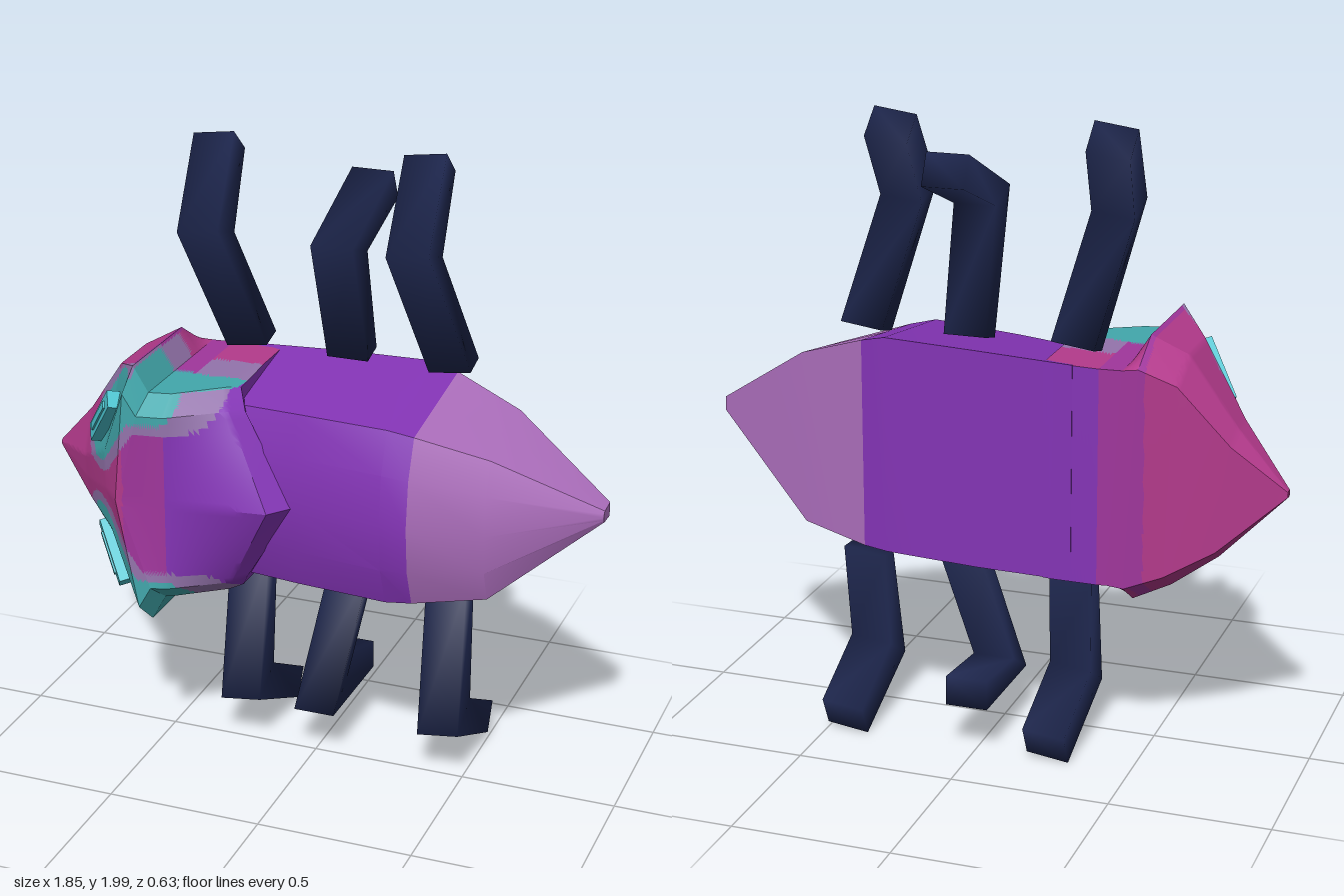
import * as THREE from 'three';
import { toCreasedNormals } from 'three/addons/utils/BufferGeometryUtils.js';

const colours = {
  magenta: 0xb43a8c, plum: 0xa0369c, purple: 0x8434b6, mauve: 0xac6ebc,
  teal: 0x42a8ac, lavender: 0x9474ac, cyan: 0x4cc4d0, navy: 0x1f2850,
};
const mats = Object.entries(colours).map(([name, color]) => {
  const m = new THREE.MeshStandardMaterial({ color });
  m.name = name;
  return m;
});
const [MAGENTA, PLUM, PURPLE, MAUVE, TEAL, LAVENDER, CYAN, NAVY] = mats.keys();

// Ring in the y-z plane; the half profile [t, z] is mirrored about mid height.
// x is the station at the sides, xm at the middle of the back; skew leans it.
function ring(x, xm, lo, hi, half, skew = 0) {
  const c = (lo + hi) / 2, h = (hi - lo) / 2;
  const at = (s, [t, z]) => new THREE.Vector3(
    x - skew * s * t + (xm - x) * (z > 0 ? 1 - t : 0), c + s * t * h, z);
  return [...half.map(p => at(-1, p)), ...half.slice(0, -1).reverse().map(p => at(1, p))];
}

// Closed loft between rings; every face takes its material from paint(centre)
function loft(name, rings, paint, n = 1, crease = 0.45) {
  const buckets = mats.map(() => []);
  const centre = new THREE.Vector3();
  const tri = (a, b, c) => {
    centre.copy(a).add(b).add(c).divideScalar(3);
    buckets[paint(centre)].push(...a, ...b, ...c);
  };
  const m = rings[0].length;
  for (let i = 0; i + 1 < rings.length; i++) for (let j = 0; j < m; j++) {
    const k = (j + 1) % m;
    const p = (u, v) => rings[i][j].clone().lerp(rings[i + 1][j], u / n)
      .lerp(rings[i][k].clone().lerp(rings[i + 1][k], u / n), v / n);
    for (let u = 0; u < n; u++) for (let v = 0; v < n; v++) {
      const a = p(u, v), b = p(u, v + 1), c = p(u + 1, v), d = p(u + 1, v + 1);
      tri(a, c, b);
      tri(b, c, d);
    }
  }
  const first = rings[0], last = rings[rings.length - 1];
  for (let j = 1; j + 1 < m; j++) {
    tri(first[0], first[j], first[j + 1]);
    tri(last[0], last[j + 1], last[j]);
  }
  let geo = new THREE.BufferGeometry();
  geo.setAttribute('position', new THREE.Float32BufferAttribute(buckets.flat(), 3));
  geo = toCreasedNormals(geo, crease);
  let start = 0;
  buckets.forEach((b, i) => {
    if (b.length) geo.addGroup(start, b.length / 3, i);
    start += b.length / 3;
  });
  const mesh = new THREE.Mesh(geo, mats);
  mesh.name = name;
  return mesh;
}

// Profiles: face for the sloping head, bevelled for collar and shield,
// tapered for the abdomen
const face = (zb, zf, k = 1) =>
  [[0.82, zb], [1, zb + 0.12 * k], [1, zf - 0.14 * k], [0.35, zf], [0, zf]];
const bevelled = (zb, zf, back = 0.82) =>
  [[back, zb], [1, zb + 0.12], [1, zf - 0.07], [0.84, zf], [0, zf]];
const tapered = (zb, zf, zm) =>
  [[1, zb], [0.91, (zb + zf) / 2], [0.82, zf], [0.45, zf + 0.75 * (zm - zf)], [0, zm]];

// Distance in the x-y plane from (x, y) to a segment
function distance(x, y, ax, ay, bx, by) {
  const dx = bx - ax, dy = by - ay;
  const t = THREE.MathUtils.clamp(((x - ax) * dx + (y - ay) * dy) / (dx * dx + dy * dy), 0, 1);
  return Math.hypot(x - ax - t * dx, y - ay - t * dy);
}

// Teal eye patches with a lavender rim, running from the head over the collar
function headPaint(p) {
  const upper = p.y > 0.935;
  const x = upper ? p.x : p.x - 0.02, y = upper ? p.y : 1.87 - p.y;
  if (y > 1.28 && x > -0.495) {
    return p.z > 0.05 ? TEAL : p.z > -0.09 ? LAVENDER : MAGENTA;
  }
  const onFace = x > -0.5 || p.z > -0.25 + 1.1 * (p.x + 0.93);
  const onHead = distance(x, y, -0.66, 1.08, -0.53, 1.26);
  if (onFace && p.z > 0.04) {
    if (Math.min(onHead, distance(x, y, -0.53, 1.26, -0.42, 1.26)) < 0.068) return TEAL;
    if (Math.min(onHead, distance(x, y, -0.53, 1.26, -0.33, 1.27)) < 0.1) return LAVENDER;
  }
  return p.x < -0.515 ? MAGENTA : p.x < -0.38 ? PLUM : PURPLE;
}

// Leg: bent strip, sections given as [x, outerY, outerZ, innerY, innerZ]
function leg(name, sections, tilt) {
  const w = 0.067;
  const rings = sections.map(([x, oy, oz, iy, iz]) => [
    new THREE.Vector3(x - w, oy - tilt, oz), new THREE.Vector3(x + w, oy + tilt, oz),
    new THREE.Vector3(x + w, iy + tilt, iz), new THREE.Vector3(x - w, iy - tilt, iz),
  ]);
  // keep the faces outward for both upward and downward legs
  if (sections[0][1] > 1) rings.forEach(r => r.reverse());
  return loft(name, rings, () => NAVY, 1, 3);
}

export function createModel() {
  const g = new THREE.Group();
  g.name = 'beetle';

  // Head, flaring to a wide collar and stepping down to the neck
  const neck = ring(-0.43, -0.53, 0.6, 1.28, bevelled(-0.25, 0.315, 1), 0.02);
  g.add(loft('head', [
    ring(-0.93, -0.93, 0.9, 0.92, face(-0.13, -0.1, 0.05)),
    ring(-0.745, -0.755, 0.68, 1.09, face(-0.175, 0.07, 0.6), 0.025),
    ring(-0.59, -0.61, 0.565, 1.3, face(-0.21, 0.235), 0.02),
    ring(-0.478, -0.54, 0.515, 1.36, bevelled(-0.24, 0.315), 0.022),
    neck,
  ], headPaint, 16));

  // Shield with a pointed rear edge over the abdomen
  g.add(loft('shield', [
    neck,
    ring(-0.38, -0.38, 0.6, 1.28, bevelled(-0.255, 0.3, 1)),
    ring(-0.24, -0.06, 0.603, 1.285, [[1, -0.26], [1, -0.1], [1, 0.13], [0.84, 0.19], [0, 0.265]]),
    ring(-0.21, 0, 0.605, 1.285, [[1, -0.26], [1, -0.1], [0.98, 0.1], [0.82, 0.15], [0, 0.19]]),
  ], headPaint, 14));

  // Abdomen and pointed tail
  const waist = ring(0.38, 0.38, 0.625, 1.29, tapered(-0.235, 0.18, 0.245));
  g.add(loft('abdomen', [
    ring(-0.3, -0.3, 0.605, 1.285, tapered(-0.26, 0.1, 0.16)),
    ring(0, 0, 0.61, 1.3, tapered(-0.26, 0.15, 0.2)),
    ring(0.3, 0.3, 0.62, 1.31, tapered(-0.25, 0.195, 0.26)),
    waist,
  ], () => PURPLE));
  g.add(loft('tail', [
    waist,
    ring(0.6, 0.6, 0.66, 1.215, tapered(-0.18, 0.12, 0.17)),
    ring(0.92, 0.92, 0.96, 1.005, tapered(-0.07, -0.01, 0)),
  ], () => MAUVE));

  // Slit eyes on the front of the head, each with a raised inner bar
  for (const s of [1, -1]) {
    const eye = new THREE.Group();
    eye.name = s > 0 ? 'upperEye' : 'lowerEye';
    const plate = new THREE.Mesh(new THREE.BoxGeometry(0.21, 0.06, 0.05), mats[CYAN]);
    plate.name = 'eyePlate';
    const bar = new THREE.Mesh(new THREE.BoxGeometry(0.14, 0.025, 0.062), mats[CYAN]);
    bar.name = 'eyeBar';
    eye.add(plate, bar);
    const u = new THREE.Vector3(0.12, 0.18 * s, 0.1).normalize();
    const v = new THREE.Vector3(-0.66, 0.33 * s, 0.65).cross(u).normalize();
    const out = u.clone().cross(v);
    eye.quaternion.setFromRotationMatrix(new THREE.Matrix4().makeBasis(u, v, out));
    eye.position.set(s > 0 ? -0.605 : -0.585, 0.935 + 0.225 * s, 0.195).addScaledVector(out, 0.012);
    g.add(eye);
  }

  // Three legs on each side: base, knee and foot positions along x
  const upper = [[-0.292, -0.365, -0.4], [0.045, 0.068, 0.08], [0.378, 0.305, 0.283]];
  const lower = [[-0.292, -0.245, -0.235], [0.055, 0.01, 0.015], [0.382, 0.428, 0.432]];
  ['front', 'middle', 'rear'].forEach((label, i) => {
    const mid = i === 1, tilt = mid ? 0 : 0.009;
    const [a, b, c] = upper[i], [d, e, f] = lower[i];
    g.add(leg(label + 'UpperLeg', [
      [a, 1.315, -0.155, 1.335, -0.235],
      [b, 1.74, 0.05, 1.7, -0.08],
      mid ? [c, 1.895, -0.275, 1.8, -0.32] : [c, 1.99, -0.17, 1.915, -0.255],
    ], tilt));
    g.add(leg(label + 'LowerLeg', [
      [d, 0.6, -0.16, 0.605, -0.235],
      [e, 0.165, 0.045, 0.24, -0.08],
      mid ? [f, 0.165, -0.32, 0.26, -0.32] : [f, 0.015, -0.275, 0.11, -0.32],
    ], tilt));
  });
  return g;
}
